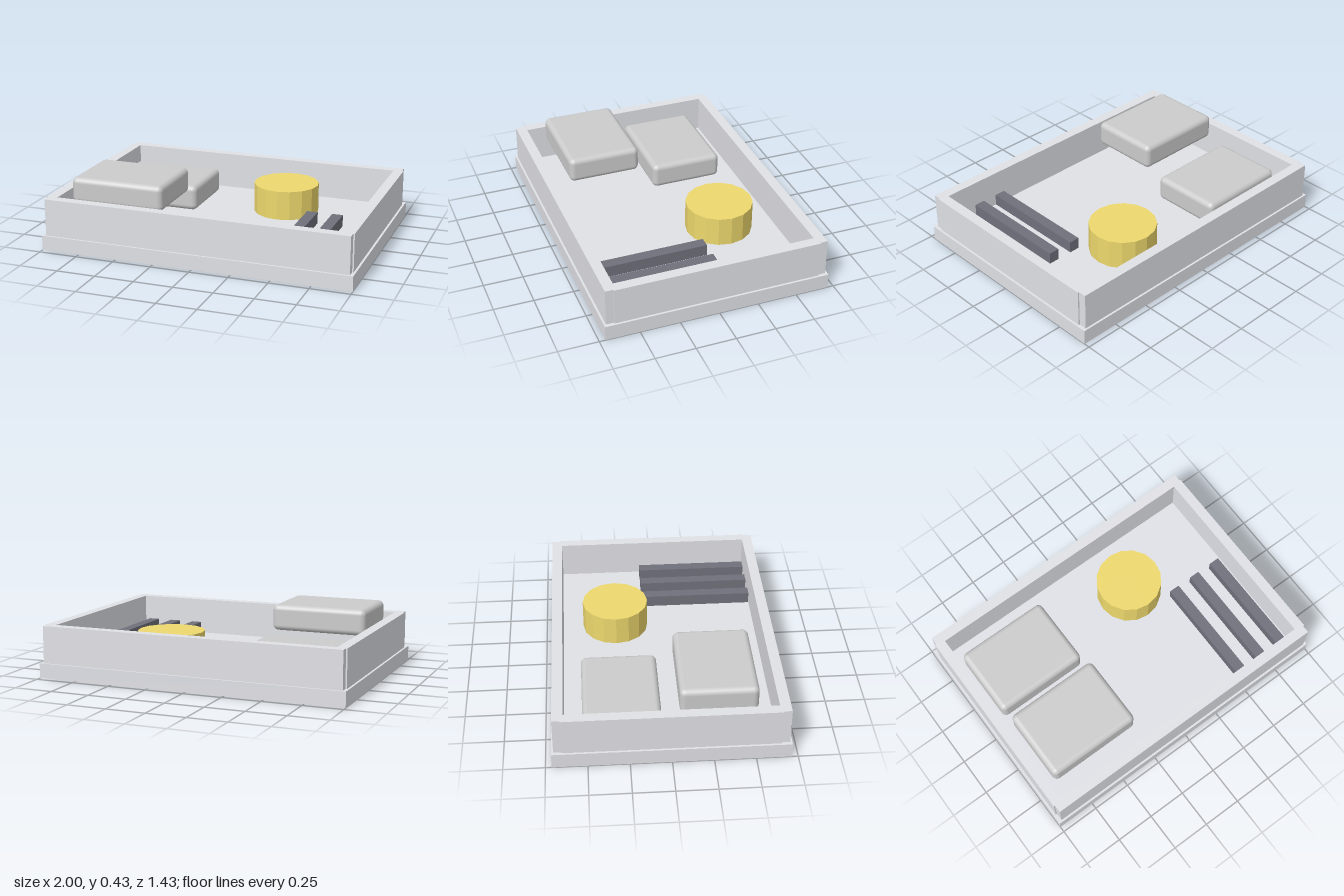
import * as THREE from 'three';
import { RoundedBoxGeometry } from 'three/addons/geometries/RoundedBoxGeometry.js';

export function createModel() {
  const model = new THREE.Group();
  const shell = new THREE.MeshStandardMaterial({ color: 0xe0e1e6 });
  const grey = new THREE.MeshStandardMaterial({ color: 0xcccccc });
  const dark = new THREE.MeshStandardMaterial({ color: 0x6f707b });
  const yellow = new THREE.MeshStandardMaterial({ color: 0xedd86d, flatShading: true });

  const FLOOR = 0.095;

  // Adds a mesh whose underside rests at height y
  function add(name, geometry, material, x, y, z) {
    geometry.computeBoundingBox();
    const mesh = new THREE.Mesh(geometry, material);
    mesh.name = name;
    mesh.position.set(x, y - geometry.boundingBox.min.y, z);
    model.add(mesh);
  }

  // Base plate
  add('base', new THREE.BoxGeometry(2, FLOOR, 1.426), shell, 0, 0, 0);

  // Low walls, the side walls a little shorter so the corners are notched
  const wallHeight = 0.237;
  for (const s of [-1, 1]) {
    add(s > 0 ? 'frontWall' : 'backWall',
      new THREE.BoxGeometry(1.954, wallHeight, 0.066), shell, 0, FLOOR, s * 0.667);
    add(s > 0 ? 'leftWall' : 'rightWall',
      new THREE.BoxGeometry(0.066, wallHeight, 1.3), shell, s * 0.953, FLOOR, 0);
  }

  // Rounded blocks: the back one on the floor, the front one raised
  add('backBlock', new RoundedBoxGeometry(0.614, 0.165, 0.47, 4, 0.035), grey, -0.575, FLOOR, -0.288);
  add('frontBlock', new RoundedBoxGeometry(0.614, 0.165, 0.47, 4, 0.035), grey, -0.575, 0.265, 0.285);

  // Faceted drum
  add('drum', new THREE.CylinderGeometry(0.213, 0.213, 0.19, 16), yellow, 0.285, FLOOR, -0.288);

  // Row of three dark bars
  for (let i = 0; i < 3; i++) {
    add('bar', new THREE.BoxGeometry(0.07, 0.075, 0.73), dark, 0.52 + i * 0.166, FLOOR, 0.267);
  }

  return model;
}
